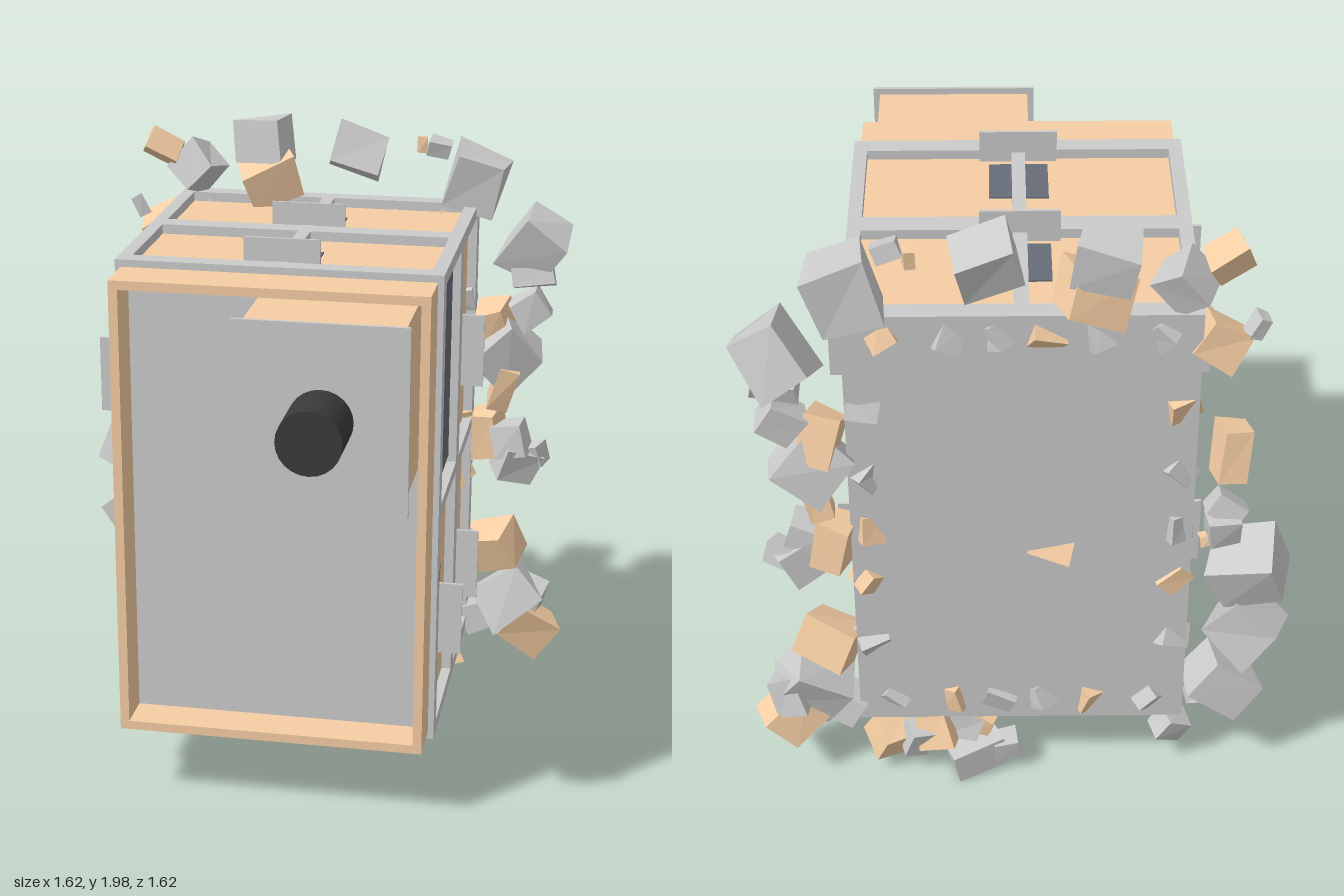
import * as THREE from 'three';

const mat = (color) => new THREE.MeshStandardMaterial({ color, flatShading: true });
const GREY = mat(0xcccccc), TAN = mat(0xf5cda3), GLASS = mat(0x666e7a), DARK = mat(0x3a3a3a);

// Small seeded generator, returns -1..1
function makeRandom(seed) {
  return () => {
    seed = (seed * 16807) % 2147483647;
    return (seed / 2147483647) * 2 - 1;
  };
}

// Box given by its limits on each axis
function box(parent, name, material, x0, x1, y0, y1, z0, z1) {
  const mesh = new THREE.Mesh(new THREE.BoxGeometry(x1 - x0, y1 - y0, z1 - z0), material);
  mesh.position.set((x0 + x1) / 2, (y0 + y1) / 2, (z0 + z1) / 2);
  mesh.name = name;
  parent.add(mesh);
  return mesh;
}

// Rectangular ring, half sizes w and h, wall t, from z0 to z1
function ring(parent, name, material, w, h, t, z0, z1) {
  const rect = (P, a, b) => new P([[-a, -b], [a, -b], [a, b], [-a, b]].map((p) => new THREE.Vector2(...p)));
  const shape = rect(THREE.Shape, w, h);
  shape.holes.push(rect(THREE.Path, w - t, h - t));
  const geo = new THREE.ExtrudeGeometry(shape, { depth: z1 - z0, bevelEnabled: false });
  const mesh = new THREE.Mesh(geo, material);
  mesh.position.z = z0;
  mesh.name = name;
  parent.add(mesh);
}

// Irregular broken block: a box with its corners nudged
function chunk(parent, name, material, rnd, x, y, z, w, h, d, angle, tilt) {
  const geo = new THREE.BoxGeometry(w, h, d);
  const nudge = Array.from({ length: 8 }, () => [rnd() * 0.07, rnd() * 0.07, rnd() * 0.07]);
  const p = geo.attributes.position;
  for (let i = 0; i < p.count; i++) {
    const n = nudge[(p.getX(i) > 0 ? 1 : 0) + (p.getY(i) > 0 ? 2 : 0) + (p.getZ(i) > 0 ? 4 : 0)];
    p.setXYZ(i, p.getX(i) + n[0] * w, p.getY(i) + n[1] * h, p.getZ(i) + n[2] * d);
  }
  geo.computeVertexNormals();
  const mesh = new THREE.Mesh(geo, material);
  mesh.position.set(x, y, z);
  mesh.rotation.set(rnd() * tilt, rnd() * tilt, angle);
  mesh.name = name;
  parent.add(mesh);
}

// Debris around the back wall: x, y, width, height, angle
const GREY_CHUNKS = [
  -0.24, 1.9, 0.16, 0.14, 0.1, -0.45, 1.81, 0.13, 0.11, 0.8, -0.65, 1.67, 0.04, 0.07, 0.5,
  0.09, 1.89, 0.17, 0.14, -0.3, 0.35, 1.91, 0.07, 0.05, -0.3, 0.47, 1.8, 0.17, 0.18, -0.3,
  0.67, 1.6, 0.16, 0.19, -0.5, 0.67, 1.49, 0.13, 0.06, 0.1, 0.66, 1.38, 0.11, 0.1, 0.6,
  0.58, 1.23, 0.17, 0.18, 0.7, -0.6, 1.03, 0.1, 0.07, 0.6, -0.59, 0.98, 0.1, 0.08, 0,
  -0.68, 0.81, 0.19, 0.18, -0.4, -0.68, 0.58, 0.17, 0.17, 0.65, -0.62, 0.35, 0.17, 0.14, 0.6,
  -0.55, 0.31, 0.08, 0.05, -0.2, -0.47, 0.16, 0.09, 0.08, 0.6, 0.04, 0.11, 0.08, 0.07, -0.1,
  0.14, 0.09, 0.17, 0.11, -0.2, 0.15, 0.18, 0.1, 0.1, 0.2, 0.61, 0.93, 0.11, 0.12, 0.2,
  0.63, 0.85, 0.13, 0.11, -0.4, 0.69, 0.88, 0.07, 0.07, 0.3, 0.62, 0.36, 0.19, 0.16, 0.6,
  0.69, 0.34, 0.09, 0.12, -0.3, 0.31, 0.15, 0.08, 0.1, 0.3, 0.52, 0.28, 0.1, 0.1, 0.4,
];
const TAN_CHUNKS = [
  -0.56, 1.88, 0.11, 0.08, -0.4, -0.2, 1.78, 0.17, 0.14, 0.3, 0.29, 1.91, 0.03, 0.05, 0,
  -0.55, 1.61, 0.13, 0.12, 0.5, -0.6, 1.25, 0.08, 0.15, 0.1, 0.58, 1.12, 0.07, 0.16, -0.25,
  0.55, 1.32, 0.1, 0.14, 0.3, 0.53, 0.94, 0.1, 0.15, 0.2, 0.56, 0.54, 0.16, 0.13, 0.4,
  0.68, 0.25, 0.16, 0.13, -0.7, 0.38, 0.13, 0.14, 0.1, 0.3, 0.1, 0.19, 0.06, 0.09, 0.3,
  0.25, 0.17, 0.1, 0.1, -0.2, -0.55, 0.93, 0.05, 0.03, -0.3,
];

export function createModel() {
  const model = new THREE.Group();
  const body = new THREE.Group();
  body.name = 'body';
  body.position.set(-0.01, 0.985, 0);
  model.add(body);
  const W = 0.49, H = 0.745, T = 0.04, IN = 0.03;

  // Recessed wall panels and back wall
  box(body, 'wallPanels', TAN, -W + IN, W - IN, -H + IN, H - IN, -0.68, 0.2);
  box(body, 'backWall', GREY, -W, W, -H, H, -0.72, -0.66);

  // Frame: rings across the depth, rails along it
  ring(body, 'frontFrame', GREY, W, H, T, 0.15, 0.21);
  ring(body, 'middleFrame', GREY, W, H, T, -0.29, -0.22);
  for (const s of [-1, 1]) {
    for (const q of [-1, 1]) {
      const x = s * (W - T / 2), y = q * (H - T / 2);
      box(body, 'cornerRail', GREY, x - T / 2, x + T / 2, y - T / 2, y + T / 2, -0.67, 0.16);
    }
    const x = s * (W - T / 2), y = s * (H - T / 2);
    box(body, 'sideRail', GREY, x - T / 2, x + T / 2, -0.018, 0.018, -0.67, 0.16);
    box(body, 'topBottomRail', GREY, -0.02, 0.02, y - T / 2, y + T / 2, -0.67, 0.16);
  }

  // Small windows with a thin fin beside each
  const bays = [[0.143, 0.017], [-0.297, -0.418]];
  for (const s of [-1, 1]) {
    bays.forEach(([finZ, winZ], bay) => {
      for (const y of [-0.36, 0.365]) {
        if (bay === 0 && Math.sign(y) === s) continue;
        const xw = s * (W - IN), xf = s * 0.51;
        box(body, 'sideWindow', GLASS, xw - 0.005, xw + 0.005, y - 0.087, y + 0.087, winZ - 0.093, winZ + 0.093);
        box(body, 'sideFin', GREY, xf - 0.05, xf + 0.05, y - 0.116, y + 0.116, finZ - 0.005, finZ + 0.005);
      }
      const yw = s * (H - IN), yf = s * 0.765;
      box(body, 'topBottomWindow', GLASS, -0.087, 0.087, yw - 0.005, yw + 0.005, winZ - 0.093, winZ + 0.093);
      box(body, 'topBottomFin', GREY, -0.115, 0.115, yf - 0.05, yf + 0.05, finZ - 0.008, finZ + 0.002);
    });
    // Large window: upper on one side, lower on the other
    const xw = s * (W - IN), y = s * 0.367;
    box(body, 'largeWindow', GLASS, xw - 0.005, xw + 0.005, y - 0.328, y + 0.328, -0.217, 0.15);
  }

  // Front tray with raised rim
  ring(body, 'frontRim', TAN, 0.472, 0.723, 0.028, 0.2, 0.36);
  box(body, 'frontPanel', GREY, -0.446, 0.446, -0.697, 0.697, 0.2, 0.235);

  // Projecting front box, cover plate and round spout
  box(model, 'frontBox', TAN, -0.045, 0.42, 1.15, 1.67, 0.22, 0.6);
  box(model, 'coverPlate', GREY, -0.065, 0.44, 1.13, 1.69, 0.6, 0.612);
  const spout = new THREE.Mesh(new THREE.CylinderGeometry(0.094, 0.094, 0.19, 24), DARK.clone());
  spout.material.flatShading = false;
  spout.rotation.x = Math.PI / 2;
  spout.position.set(0.19, 1.405, 0.705);
  spout.name = 'spout';
  model.add(spout);

  // Broken blocks around the back wall
  const debris = new THREE.Group();
  debris.name = 'debris';
  model.add(debris);
  const rnd = makeRandom(4711);
  for (const [list, material] of [[GREY_CHUNKS, GREY], [TAN_CHUNKS, TAN]]) {
    for (let i = 0; i < list.length; i += 5) {
      const [x, y, w, h, angle] = list.slice(i, i + 5);
      const d = (w + h) * 0.45;
      const z = -0.685 + rnd() * 0.025;
      chunk(debris, 'brokenBlock', material, rnd, x, y, z, w, h, d, angle, 0.4);
    }
  }

  // Shards poking through the edges of the back wall
  for (let i = 0; i < 22; i++) {
    const a = (i / 22) * Math.PI * 2;
    const k = 0.9 / Math.max(Math.abs(Math.cos(a)), Math.abs(Math.sin(a)));
    const x = -0.01 + Math.cos(a) * k * W, y = 0.985 + Math.sin(a) * k * H;
    chunk(debris, 'shard', i % 3 ? GREY : TAN, rnd, x, y, -0.69, 0.07, 0.09, 0.08, a * 3, 0.7);
  }
  chunk(debris, 'shard', TAN, rnd, -0.1, 0.9, -0.69, 0.12, 0.08, 0.08, 0.3, 0.7);
  return model;
}
